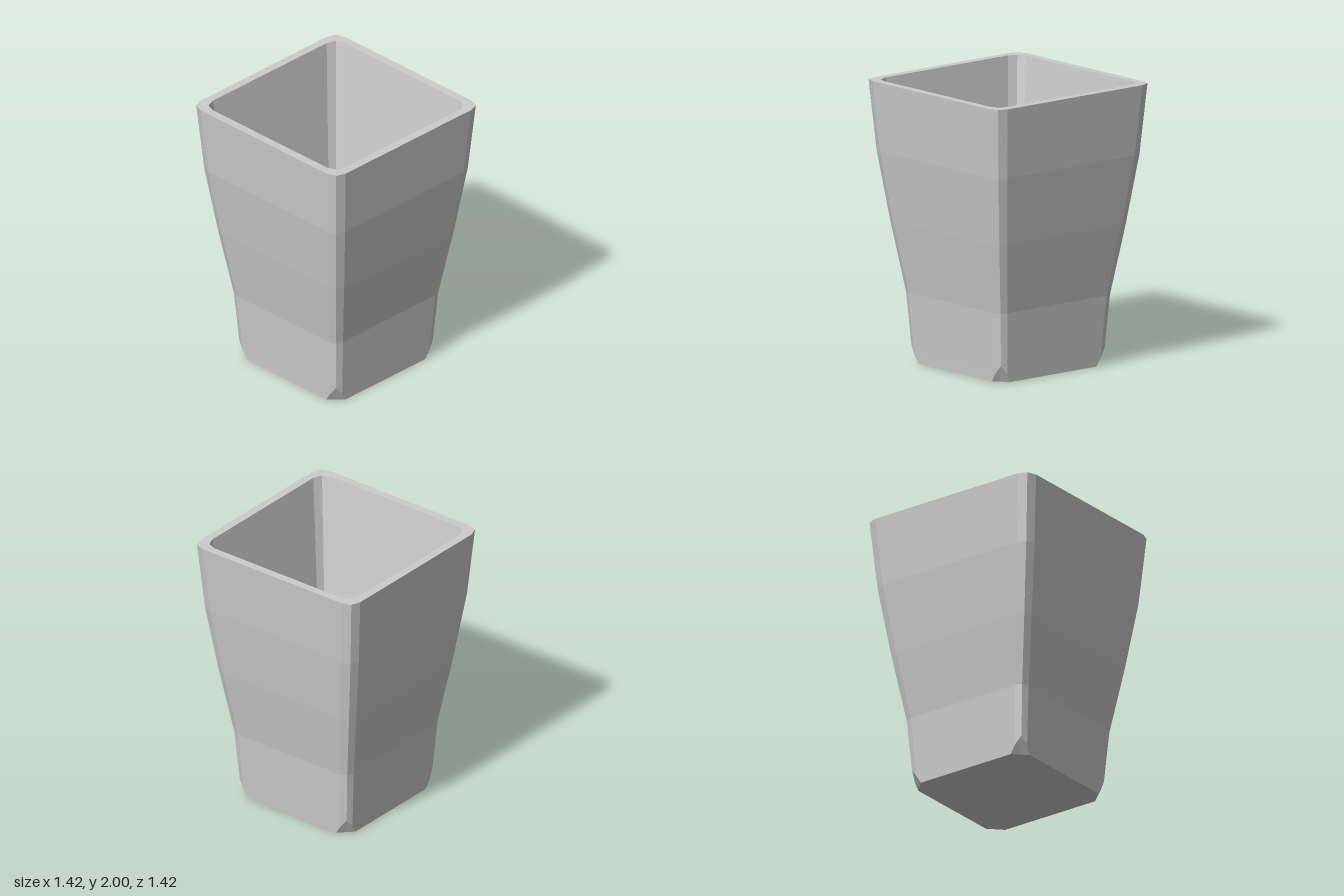
import * as THREE from 'three';

// One 12-sided ring: a square of half-width h with two-facet corners.
// a = where the flat side ends, m = corner tip, yA / yM = their heights.
function ring(h, y, a = h * 0.87, m = h * 0.965, yM = y) {
  const pts = [];
  for (let k = 0; k < 4; k++) {
    const c = [1, 0, -1, 0][k], s = [0, 1, 0, -1][k];
    for (const [x, py, z] of [[h, y, a], [m, yM, m], [a, y, h]]) {
      pts.push(new THREE.Vector3(x * c - z * s, py, x * s + z * c));
    }
  }
  return pts;
}

// Skin consecutive rings with flat-shaded quads, dropping collapsed triangles.
function loft(name, material, rings) {
  const pos = [];
  const tri = new THREE.Triangle();
  const add = (p, q, r) => {
    if (tri.set(p, q, r).getArea() > 1e-8) {
      for (const v of [p, q, r]) pos.push(v.x, v.y, v.z);
    }
  };
  for (let j = 0; j < rings.length - 1; j++) {
    const lo = rings[j], up = rings[j + 1], n = lo.length;
    for (let i = 0; i < n; i++) {
      const k = (i + 1) % n;
      add(lo[i], up[i], up[k]);
      add(lo[i], up[k], lo[k]);
    }
  }
  const geo = new THREE.BufferGeometry();
  geo.setAttribute('position', new THREE.Float32BufferAttribute(pos, 3));
  geo.computeVertexNormals();
  const mesh = new THREE.Mesh(geo, material);
  mesh.name = name;
  return mesh;
}

export function createModel() {
  const grey = new THREE.MeshStandardMaterial({ color: 0xcccccc, flatShading: true });
  grey.name = 'light grey';

  const bottom = ring(0.485, 0, 0.39, 0.4375);
  const foot = ring(0.489, 0.06, 0.428, 0.475, 0.12); // top of the clipped foot corners
  const top = ring(0.71, 2, 0.617, 0.686);
  const lip = ring(0.65, 2, 0.56, 0.625);
  const floorRing = ring(0.425, 0.1, 0.37, 0.41);

  const pot = new THREE.Group();
  pot.name = 'squarePlanter';
  pot.add(
    loft('base', grey, [ring(0, 0), bottom]),
    loft('footCorners', grey, [bottom, foot]),
    loft('outerWall', grey, [foot, ring(0.52, 0.5), ring(0.6, 1), ring(0.67, 1.5), top]),
    loft('rim', grey, [top, lip]),
    loft('innerWall', grey, [lip, floorRing]),
    loft('innerFloor', grey, [floorRing, ring(0, 0.1)])
  );
  return pot;
}
